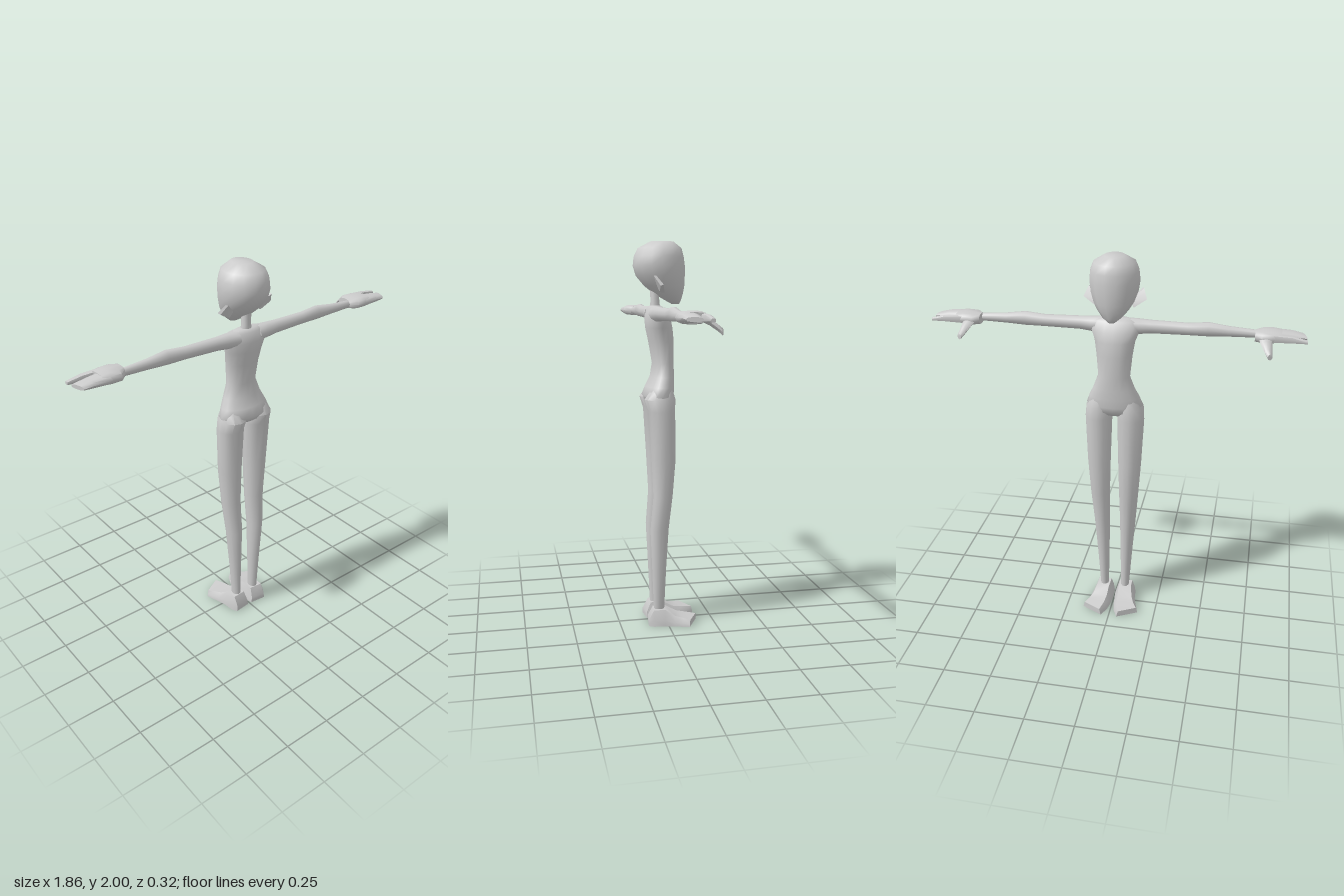
import * as THREE from 'three';
import { toCreasedNormals } from 'three/addons/utils/BufferGeometryUtils.js';

const grey = new THREE.MeshStandardMaterial({ color: 0xcccccc });
grey.name = 'plain grey';

// Skin a list of closed rings (arrays of [x, y, z]) and cap both ends.
// Winding is turned outward by checking the enclosed volume.
function loft(rings, side = 1, crease = 0.9) {
  const n = rings[0].length, pos = [], idx = [];
  const put = p => pos.push(p[0] * side, p[1], p[2]);
  rings.forEach(r => r.forEach(put));
  for (let i = 0; i < rings.length - 1; i++) {
    for (let j = 0; j < n; j++) {
      const a = i * n + j, b = i * n + (j + 1) % n;
      idx.push(a, b, b + n, a, b + n, a + n);
    }
  }
  const last = (rings.length - 1) * n;
  [0, last].forEach(start => {
    const ring = rings[start / n], c = pos.length / 3;
    put([0, 1, 2].map(k => ring.reduce((s, p) => s + p[k], 0) / n));
    for (let j = 0; j < n; j++) {
      const a = start + j, b = start + (j + 1) % n;
      if (start) idx.push(a, b, c); else idx.push(b, a, c);
    }
  });
  const at = i => new THREE.Vector3().fromArray(pos, i * 3);
  let volume = 0;
  for (let i = 0; i < idx.length; i += 3) volume += at(idx[i]).dot(at(idx[i + 1]).cross(at(idx[i + 2])));
  if (volume < 0) idx.reverse();
  const g = new THREE.BufferGeometry();
  g.setAttribute('position', new THREE.Float32BufferAttribute(pos, 3));
  g.setIndex(idx);
  return toCreasedNormals(g, crease);
}

const angles = n => Array.from({ length: n }, (_, i) => i / n * Math.PI * 2);

// Horizontal ring: height, x from/to, z from/to
const level = (n, [y, x0, x1, z0, z1]) => angles(n).map(a =>
  [(x0 + x1) / 2 + Math.cos(a) * (x1 - x0) / 2, y, (z0 + z1) / 2 + Math.sin(a) * (z1 - z0) / 2]);

// Upright ring across a limb: x, y from/to, z from/to; power below 1 squares it off
const slice = (n, [x, y0, y1, z0, z1], power = 1) => angles(n).map(a => {
  const f = v => Math.sign(v) * Math.abs(v) ** power;
  return [x, (y0 + y1) / 2 + f(Math.sin(a)) * (y1 - y0) / 2, (z0 + z1) / 2 + f(Math.cos(a)) * (z1 - z0) / 2];
});

export function createModel() {
  const model = new THREE.Group();
  model.name = 'figure';
  const add = (name, geometry) => {
    const mesh = new THREE.Mesh(geometry, grey);
    mesh.name = name;
    model.add(mesh);
  };
  const symmetric = ([y, w, z0, z1]) => [y, -w, w, z0, z1];

  // Head: flat crown, full back, narrow chin toward -z
  add('head', loft([
    [2.0, 0.05, -0.045, 0.075], [1.967, 0.103, -0.085, 0.138], [1.925, 0.12, -0.096, 0.158],
    [1.88, 0.125, -0.102, 0.163], [1.83, 0.118, -0.102, 0.148], [1.78, 0.1, -0.1, 0.105],
    [1.745, 0.078, -0.094, 0.06], [1.712, 0.048, -0.085, 0.005], [1.69, 0.018, -0.075, -0.035],
  ].map(r => level(14, symmetric(r))), 1, 1.2));

  add('neck', loft([
    [1.78, 0.025, 0.03, 0.075], [1.7, 0.024, 0.028, 0.074], [1.65, 0.034, 0.02, 0.08],
  ].map(r => level(10, symmetric(r)))));

  // Torso from shoulders through waist to hips
  add('torso', loft([
    [1.682, 0.07, 0.025, 0.075], [1.668, 0.115, 0.005, 0.09], [1.62, 0.122, -0.025, 0.103],
    [1.57, 0.103, -0.038, 0.1], [1.5, 0.092, -0.045, 0.085], [1.39, 0.082, -0.045, 0.066],
    [1.32, 0.108, -0.045, 0.076], [1.27, 0.132, -0.044, 0.1], [1.225, 0.148, -0.042, 0.118],
    [1.195, 0.135, -0.036, 0.1], [1.17, 0.07, -0.01, 0.06],
  ].map(r => level(16, symmetric(r))), 1, 1.2));

  for (const [label, s] of [['left', 1], ['right', -1]]) {
    // Ear: flared block set low behind the face
    add(label + 'Ear', loft([
      [[0.075, 1.775, 0.03], [0.095, 1.745, 0.02], [0.095, 1.75, 0.045], [0.08, 1.78, 0.055]],
      [[0.137, 1.83, 0.07], [0.157, 1.785, 0.035], [0.152, 1.78, 0.05], [0.13, 1.83, 0.082]],
    ], s, 0.5));

    // Arm with slight swelling at the elbow
    add(label + 'Arm', loft([
      [0.06, 1.6, 1.682, 0.01, 0.095], [0.12, 1.603, 1.68, 0.018, 0.09], [0.18, 1.61, 1.677, 0.024, 0.083],
      [0.36, 1.614, 1.675, 0.023, 0.075], [0.46, 1.614, 1.685, 0.022, 0.075],
      [0.56, 1.619, 1.671, 0.028, 0.071], [0.71, 1.623, 1.66, 0.034, 0.065],
    ].map(r => slice(10, r)), s));

    // Hand: palm, pointing finger, joined fingers and hanging thumb
    add(label + 'Palm', loft([
      [0.685, 1.617, 1.667, -0.015, 0.065], [0.72, 1.614, 1.672, -0.035, 0.1],
      [0.77, 1.614, 1.674, -0.03, 0.102], [0.81, 1.62, 1.668, -0.022, 0.1],
    ].map(r => slice(12, r, 0.75)), s));
    add(label + 'IndexFinger', loft([
      [0.77, 1.622, 1.665, -0.028, 0.012], [0.86, 1.626, 1.66, -0.027, 0.004], [0.932, 1.628, 1.645, -0.025, -0.003],
    ].map(r => slice(8, r, 0.75)), s));
    add(label + 'Fingers', loft([
      [0.77, 1.62, 1.669, 0.01, 0.102], [0.86, 1.626, 1.662, 0.02, 0.1], [0.915, 1.63, 1.65, 0.025, 0.095],
    ].map(r => slice(10, r, 0.75).map(([x, y, z]) =>
      [x > 0.9 ? x + 0.015 - (z - 0.025) * 0.35 : x, y, z])), s));
    add(label + 'Thumb', loft([
      [1.645, 0.7, 0.772, 0.0], [1.625, 0.715, 0.768, -0.045], [1.6, 0.735, 0.772, -0.08], [1.582, 0.752, 0.775, -0.1],
    ].map(([y, x0, x1, z]) => angles(8).map(a =>
      [(x0 + x1) / 2 + Math.cos(a) * (x1 - x0) / 2, y + Math.sin(a) * 0.015, z + Math.cos(a) * 0.006])), s));

    // Leg, bowed back at the shin
    add(label + 'Leg', loft([
      [1.26, 0.03, 0.125, -0.025, 0.085], [1.21, 0.008, 0.151, -0.04, 0.12],
      [1.15, 0.013, 0.155, -0.038, 0.1], [0.9, 0.02, 0.144, -0.042, 0.085],
      [0.7, 0.025, 0.13, -0.027, 0.075], [0.52, 0.028, 0.115, -0.007, 0.09],
      [0.3, 0.032, 0.097, 0.005, 0.08], [0.06, 0.036, 0.08, 0.015, 0.07],
    ].map(r => level(12, r)), s));

    // Shoe: sections of inner/outer edge and height, toe turned outward
    const shoe = ([xi, zi, xo, zo, h, t]) => {
      const mx = (xi + xo) / 2, mz = (zi + zo) / 2;
      const top = (x, z) => [mx + (x - mx) * t, h, mz + (z - mz) * t];
      return [[xi, 0, zi], [xi * 0.95 + mx * 0.05, h * 0.4, zi], top(xi, zi), top(xo, zo),
        [xo * 0.95 + mx * 0.05, h * 0.4, zo], [xo, 0, zo]];
    };
    add(label + 'Shoe', loft([
      [0.012, 0.095, 0.1, 0.105, 0.03, 0.9], [0.006, 0.07, 0.115, 0.078, 0.083, 0.65],
      [0.005, 0.0, 0.12, 0.02, 0.083, 0.6], [0.01, -0.06, 0.132, -0.03, 0.05, 0.65],
      [0.02, -0.11, 0.145, -0.07, 0.042, 0.7], [0.045, -0.163, 0.155, -0.105, 0.034, 0.85],
    ].map(shoe), s, 0.7));
  }
  return model;
}
